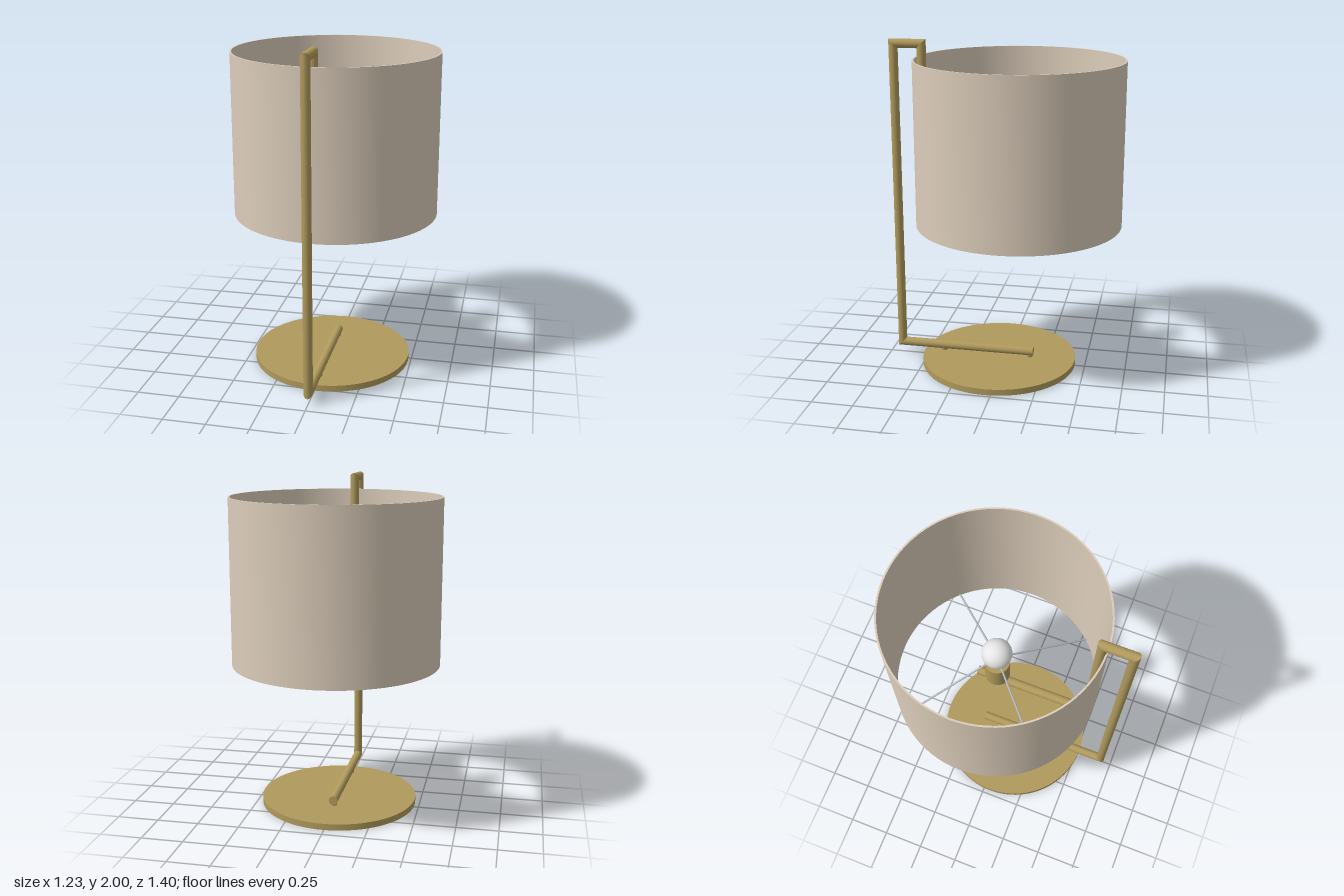
import * as THREE from 'three';
import { toCreasedNormals } from 'three/addons/utils/BufferGeometryUtils.js';

const material = (name, color) => {
  const m = new THREE.MeshStandardMaterial({ color });
  m.name = name;
  return m;
};

const X = new THREE.Vector3(1, 0, 0);
const Y = new THREE.Vector3(0, 1, 0);
const SHADE_Z = -0.08;
const HUB_X = 0.013;

// Straight round tubes with mitred corners, along a path in the plane x = 0
function mitredTube(path, radius, mat) {
  const group = new THREE.Group();
  const dirs = path.slice(1).map((p, i) => p.clone().sub(path[i]).normalize());
  const normals = dirs.map((d) => X.clone().cross(d));
  const mitre = (i) => {
    const a = normals[Math.max(i - 1, 0)];
    const b = normals[Math.min(i, normals.length - 1)];
    return a.clone().add(b).divideScalar(1 + a.dot(b));
  };
  for (let i = 0; i < dirs.length; i++) {
    const geo = new THREE.CylinderGeometry(radius, radius, 1, 32);
    const pos = geo.attributes.position;
    const m = [mitre(i), mitre(i + 1)];
    const v = new THREE.Vector3();
    for (let k = 0; k < pos.count; k++) {
      const x = pos.getX(k), t = pos.getY(k) + 0.5, z = pos.getZ(k);
      v.lerpVectors(path[i], path[i + 1], t);
      v.addScaledVector(X, x).addScaledVector(m[t > 0.5 ? 1 : 0], z);
      pos.setXYZ(k, v.x, v.y, v.z);
    }
    geo.computeVertexNormals();
    const mesh = new THREE.Mesh(geo, mat);
    mesh.name = 'frameTube' + (i + 1);
    group.add(mesh);
  }
  return group;
}

export function createModel() {
  const model = new THREE.Group();
  const brass = material('brass', 0xb09a5c);
  const fabric = material('shade fabric', 0xdccdba);
  const steel = material('steel', 0xb8bcc6);
  const glass = material('bulb glass', 0xe6e6e6);

  const add = (name, geo, mat, x, y, z) => {
    const mesh = new THREE.Mesh(geo, mat);
    mesh.name = name;
    mesh.position.set(x, y, z);
    model.add(mesh);
    return mesh;
  };

  // Round base plate and the two spacers that hold the frame
  add('base', new THREE.CylinderGeometry(0.478, 0.478, 0.038, 96), brass, 0.005, 0.019, 0.04);
  for (const z of [0.4, -0.15]) {
    add('spacer', new THREE.CylinderGeometry(0.02, 0.02, 0.03, 24), brass, 0, 0.047, z);
  }

  // Bent frame: foot bar, upright, top bar, drop and lamp arm
  const path = [
    [0.073, -0.175], [0.073, 0.673], [1.973, 0.673],
    [1.973, 0.502], [0.95, 0.502], [0.95, -0.2],
  ].map(([y, z]) => new THREE.Vector3(0, y, z));
  const frame = mitredTube(path, 0.027, brass);
  frame.name = 'frame';
  model.add(frame);

  // Thin drum shade, open at both ends
  const wall = [[0.616, 0.92], [0.616, 1.9], [0.606, 1.9], [0.606, 0.92], [0.616, 0.92]]
    .map(([r, y]) => new THREE.Vector2(r, y));
  add('shade', toCreasedNormals(new THREE.LatheGeometry(wall, 80), 0.6), fabric, 0, 0, SHADE_Z);

  // Socket on the arm
  add('socket', new THREE.CylinderGeometry(0.075, 0.075, 0.205, 40), brass, HUB_X, 1.07, SHADE_Z);

  // Bulb: short neck widening into a globe
  const bulb = [new THREE.Vector2(0.045, 1.17)];
  for (let i = 0; i <= 16; i++) {
    const a = -1.0 + (1.0 + Math.PI / 2) * (i / 16);
    bulb.push(new THREE.Vector2(Math.max(0.09 * Math.cos(a), 0), 1.3 + 0.09 * Math.sin(a)));
  }
  add('bulb', new THREE.LatheGeometry(bulb, 40), glass, HUB_X, 0, SHADE_Z);

  // Four sloping wires from the bulb neck to the shade's lower rim
  for (let i = 0; i < 4; i++) {
    const a = Math.PI / 4 + (i * Math.PI) / 2;
    const at = (r, y) => new THREE.Vector3(HUB_X + r * Math.cos(a), y, SHADE_Z + r * Math.sin(a));
    const inner = at(0.03, 1.22), outer = at(0.602, 0.928);
    const dir = outer.clone().sub(inner);
    const mid = inner.clone().add(outer).multiplyScalar(0.5);
    const wire = add('shadeWire', new THREE.CylinderGeometry(0.006, 0.006, dir.length(), 10),
      steel, mid.x, mid.y, mid.z);
    wire.quaternion.setFromUnitVectors(Y, dir.normalize());
  }

  return model;
}
